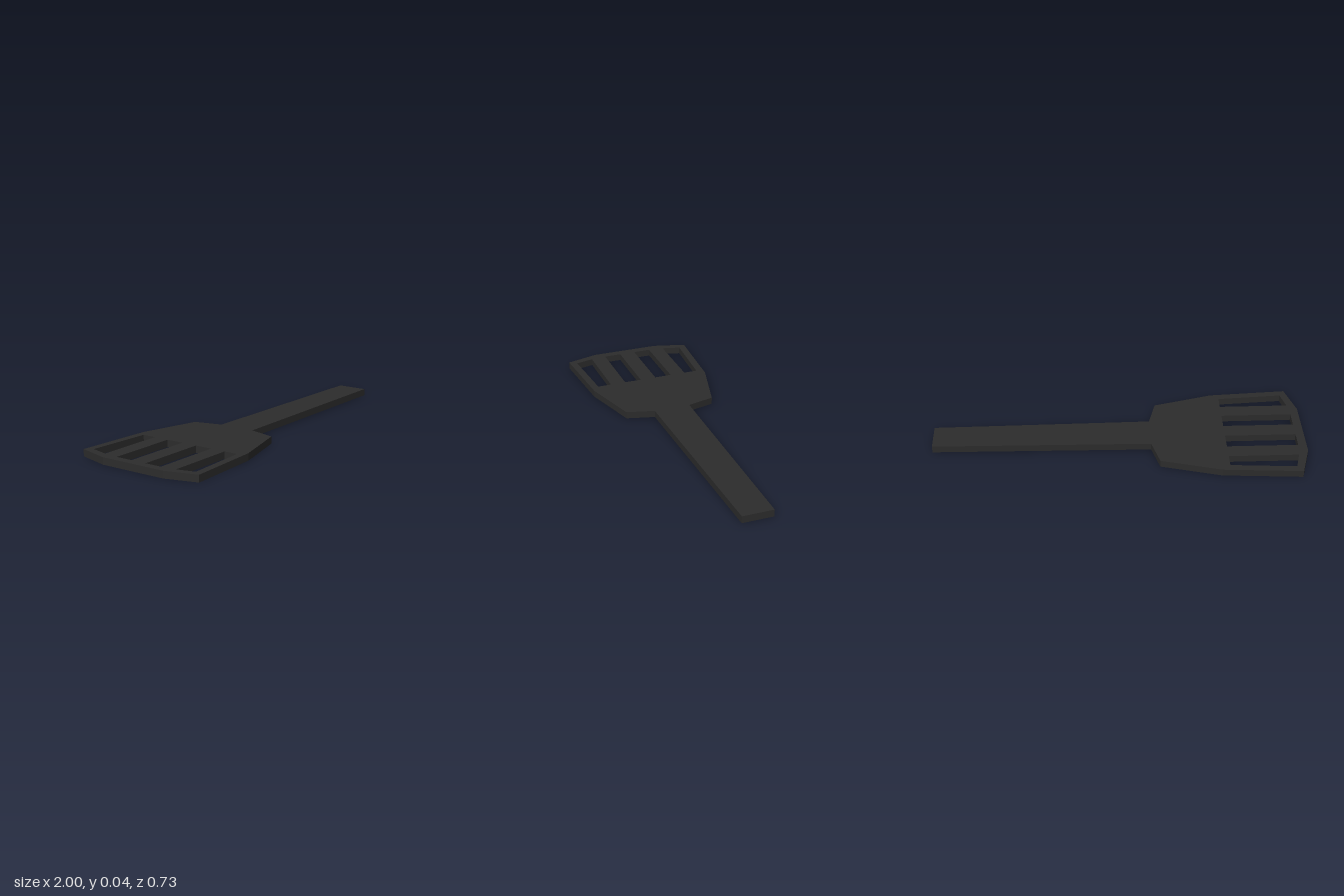
import * as THREE from 'three';

const THICKNESS = 0.038;

const points = (list) => list.map(([x, z]) => new THREE.Vector2(x, z));

// Mirrors half an outline across the centre line into a counter-clockwise loop
const mirrored = (half) => [...half.map(([x, z]) => [x, -z]), ...half.toReversed()];

export function createModel() {
  const model = new THREE.Group();
  model.name = 'spatula';
  const material = new THREE.MeshStandardMaterial({ color: 0x2c2c2c, flatShading: true });

  // Outline: blade tip, widening sides, shoulders, then the tapering handle
  const outline = new THREE.Shape(points(mirrored([
    [-1, 0.19], [-0.95, 0.367], [-0.53, 0.34], [-0.21, 0.253], [-0.17, 0.102], [1, 0.085],
  ])));

  // Two straight inner slots and two slanted outer slots
  const innerSlot = [[-0.955, 0.045], [-0.955, 0.14], [-0.573, 0.14], [-0.573, 0.045]];
  const outerSlot = [[-0.946, 0.226], [-0.921, 0.325], [-0.573, 0.302], [-0.573, 0.226]];
  for (const slot of [innerSlot, outerSlot]) {
    for (const side of [1, -1]) {
      outline.holes.push(new THREE.Path(points(slot.map(([x, z]) => [x, z * side]))));
    }
  }

  // One flat plate forms the slotted blade and the handle
  const geometry = new THREE.ExtrudeGeometry(outline, { depth: THICKNESS, bevelEnabled: false });
  geometry.rotateX(-Math.PI / 2);
  const plate = new THREE.Mesh(geometry, material);
  plate.name = 'slottedBladeAndHandle';
  model.add(plate);
  return model;
}
